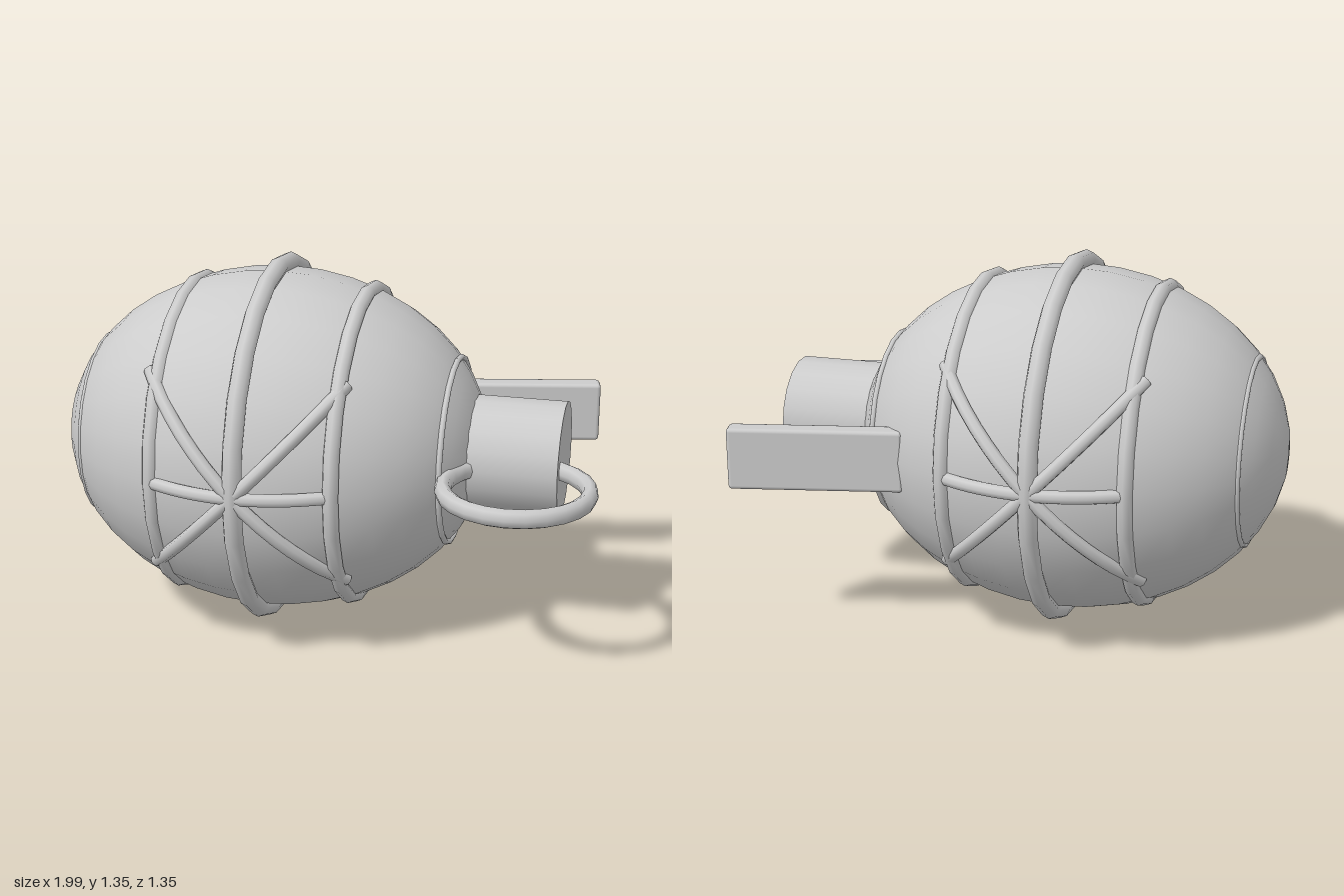
import * as THREE from 'three';
import { RoundedBoxGeometry } from 'three/addons/geometries/RoundedBoxGeometry.js';

const CX = -0.22, CY = 0.68;   // body centre
const RX = 0.78, R = 0.625;    // body half length and radius

export function createModel() {
  const model = new THREE.Group();
  model.name = 'grenade';
  const grey = new THREE.MeshStandardMaterial({ color: 0xcccccc });
  grey.name = 'plain grey';

  const add = (name, geometry, x = 0, y = 0, z = 0) => {
    const mesh = new THREE.Mesh(geometry, grey);
    mesh.name = name;
    mesh.position.set(x, y, z);
    model.add(mesh);
    return mesh;
  };

  // Egg-shaped body, poles along x
  const body = new THREE.SphereGeometry(R, 24, 20);
  body.rotateZ(-Math.PI / 2).scale(RX / R, 1, 1);
  add('body', body, CX, CY, 0);

  // Bands around the body: x, ring radius, tube radius
  const bands = [
    ['middleBand', -0.215, 0.64, 0.035],
    ['rearBand', -0.53, 0.563, 0.029],
    ['frontBand', 0.11, 0.563, 0.029],
    ['rearSeam', -0.87, 0.336, 0.011],
    ['frontSeam', 0.44, 0.336, 0.011],
  ];
  for (const [name, x, radius, tube] of bands) {
    const ring = new THREE.TorusGeometry(radius, tube, 8, 24);
    ring.rotateZ(Math.PI / 2).rotateY(Math.PI / 2);
    add(name, ring, x, CY, 0);
  }

  // Star of ribs following the surface, on both sides
  const ribs = [[0.31, 0], [0.35, 0.36], [0.35, -0.36]];
  for (const side of [1, -1]) {
    for (const [ex, ey] of ribs) {
      const points = [];
      for (let i = -6; i <= 6; i++) {
        const t = i / 6, dx = ex * t, dy = ey * t;
        const z = R * Math.sqrt(1 - (dx / RX) ** 2 - (dy / R) ** 2);
        const lift = 0.02 - 0.03 * t * t;
        points.push(new THREE.Vector3(dx, dy, side * (z + lift)));
      }
      const curve = new THREE.CatmullRomCurve3(points);
      add('starRib', new THREE.TubeGeometry(curve, 16, 0.024, 8), CX + 0.005, CY, 0);
    }
  }

  // Neck
  const neck = new THREE.CylinderGeometry(0.208, 0.208, 0.38, 18);
  neck.rotateZ(-Math.PI / 2);
  add('neck', neck, 0.645, CY, 0);

  // Flat pull ring hooked into the neck
  const pull = new THREE.TorusGeometry(0.252, 0.029, 8, 24);
  pull.rotateX(Math.PI / 2).scale(1, 1.2, 1);
  add('pullRing', pull, 0.712, CY, 0.345);

  // Safety lever, angled away from the neck
  const lever = add('lever', new RoundedBoxGeometry(0.62, 0.225, 0.075, 2, 0.014), 0.595, CY, -0.488);
  lever.rotation.y = 0.21;

  return model;
}
